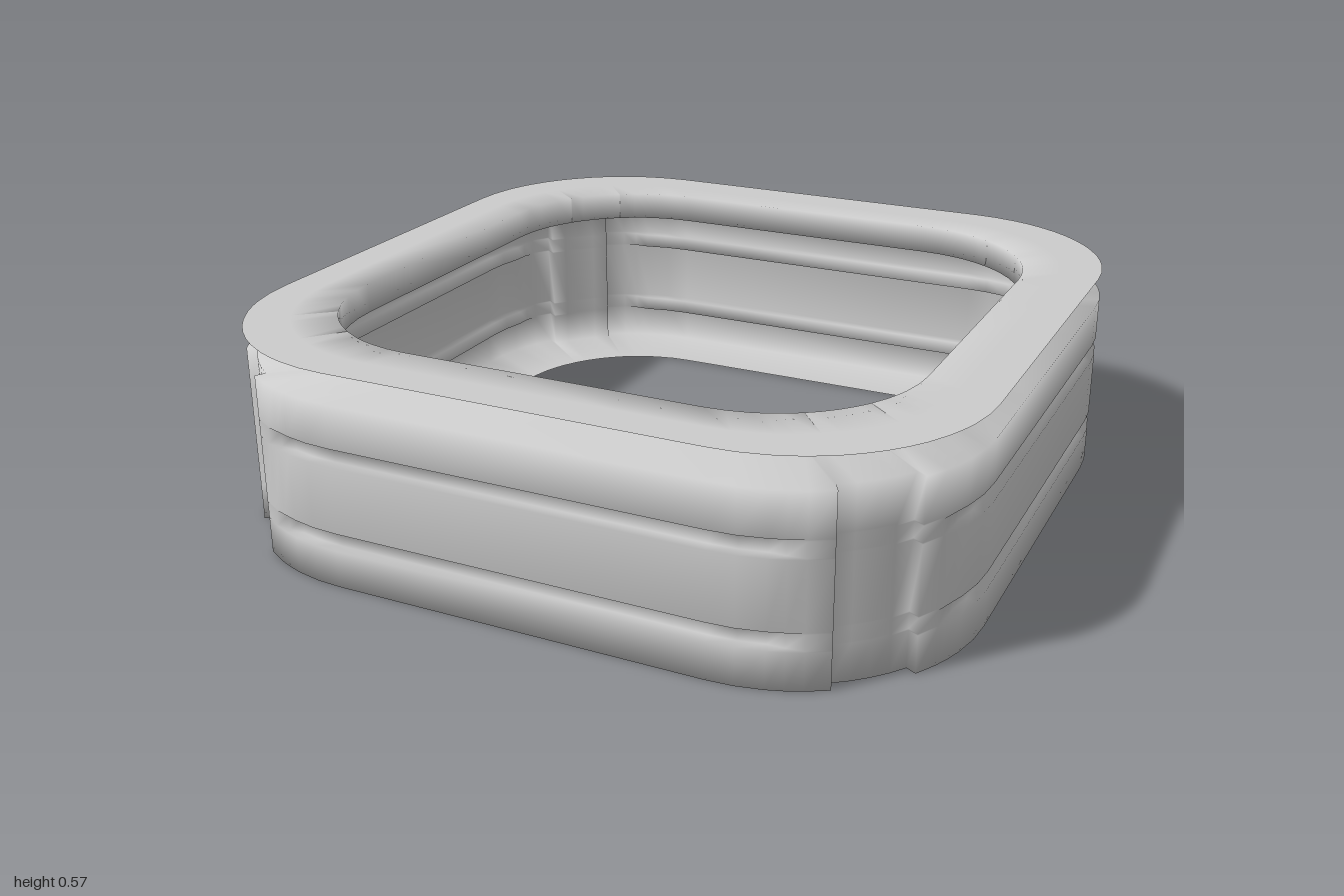
import * as THREE from 'three';

// Plan of a half side: [fraction along the straight, angle round the corner, recess, groove strength]
const RECESS = 0.03, GROOVE = 0.025;
const halfSide = [
  [0.5, 0, 0, 1],
  [1, 0, 0, 1],
  [1, 8, 0, 1],
  [1, 16, 0, 1],
  [1, 21, 0, 0.5],
  [1, 26, 0, 0],
  [1, 33, 0, 0],
  [1, 33.3, RECESS, 0],
  [1, 39, RECESS, 0],
  [1, 45, RECESS, 0],
];

// Section of the sheet: [plan scale, height, on outer wall, in groove]
const section = [
  [1, 0.57, 0, 0], [0.9, 0.57, 0, 0], [0.8, 0.57, 0, 0], // top flange
  [0.8, 0.49, 0, 0],                                     // neck
  [1, 0.49, 1, 0],                                       // shoulder
  [1, 0.375, 1, 0], [1, 0.371, 1, 1], [1, 0.33, 1, 1], [1, 0.326, 1, 0], // upper groove
  [1, 0.147, 1, 0], [1, 0.143, 1, 1], [1, 0.102, 1, 1], [1, 0.098, 1, 0], // lower groove
  [1, 0, 1, 0], [0.8, 0, 0, 0],                          // bottom flange
];

// One full side, mirrored; the first corner column belongs to the previous side
function sideColumns() {
  const mirrored = halfSide.slice(0, -1).reverse().map(([f, a, r, g]) => [-f, -a, r, g]);
  return [...mirrored, ...halfSide];
}

function shellGeometry() {
  const positions = [], indices = [];
  const columns = sideColumns(), rows = section.length;
  for (let side = 0; side < 4; side++) {
    for (const [f, deg, recess, groove] of columns) {
      const a = THREE.MathUtils.degToRad(deg), nx = Math.sin(a), nz = Math.cos(a);
      for (const [scale, y, wall, inGroove] of section) {
        const inset = wall * recess + inGroove * groove * GROOVE;
        let x = scale * 0.5 * (f + nx) - inset * nx;
        let z = scale * 0.5 * (1 + nz) - inset * nz;
        for (let q = 0; q < side; q++) [x, z] = [z, -x];
        positions.push(x, y, z);
      }
    }
  }
  const count = columns.length * 4;
  for (let i = 0; i < count; i++) {
    const next = (i + 1) % count;
    for (let j = 0; j < rows - 1; j++) {
      const a = i * rows + j, b = next * rows + j;
      indices.push(a, a + 1, b, b, a + 1, b + 1);
    }
  }
  const geometry = new THREE.BufferGeometry();
  geometry.setAttribute('position', new THREE.Float32BufferAttribute(positions, 3));
  geometry.setIndex(indices);
  geometry.computeVertexNormals();
  return geometry;
}

export function createModel() {
  const group = new THREE.Group();
  group.name = 'squareRing';
  // Thin pressed sheet: flange, neck, grooved walls with recessed corners, bottom flange
  const material = new THREE.MeshStandardMaterial({ color: 0xcccccc, side: THREE.DoubleSide });
  const shell = new THREE.Mesh(shellGeometry(), material);
  shell.name = 'flangedGroovedShell';
  group.add(shell);
  return group;
}
